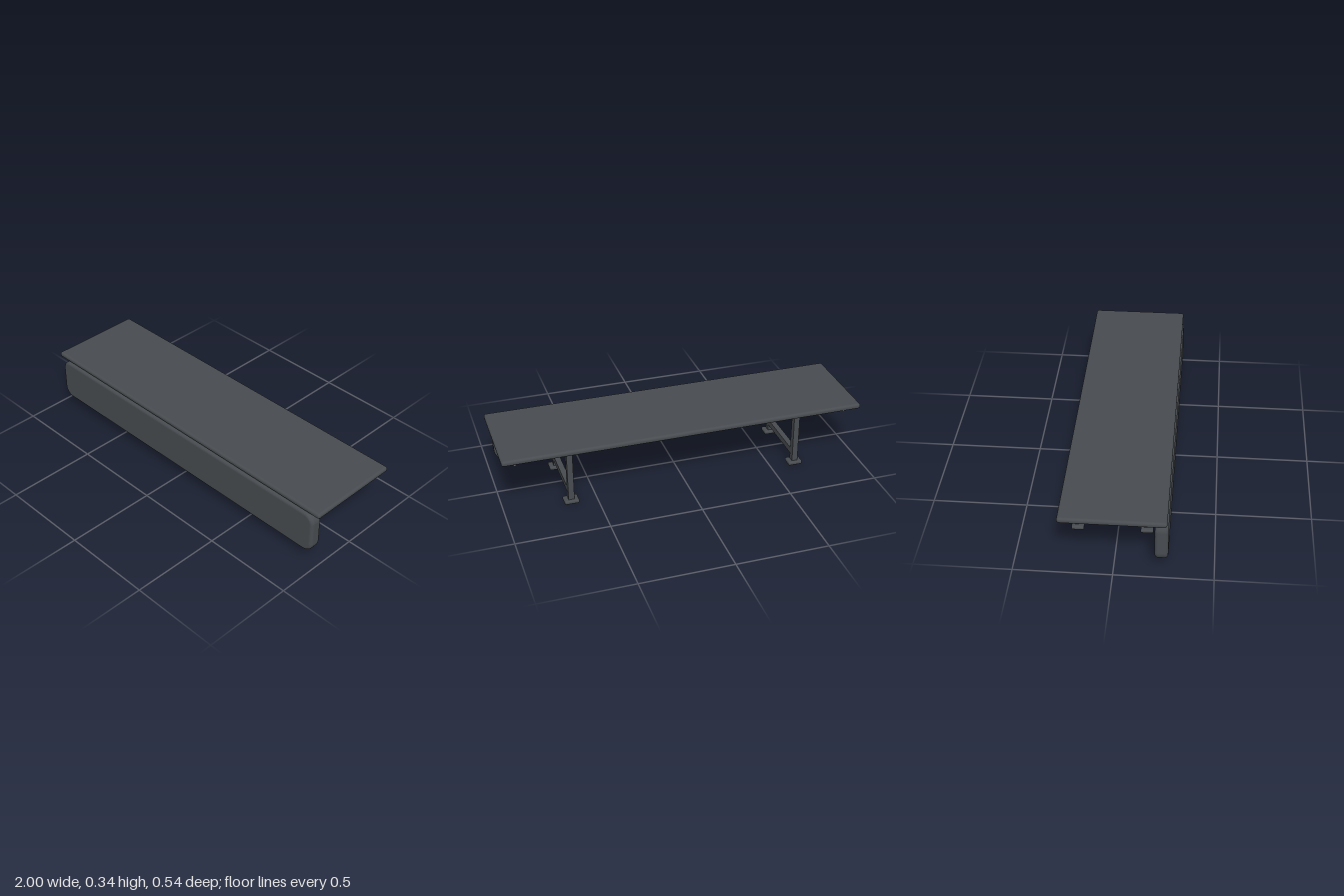
import * as THREE from 'three';
import { RoundedBoxGeometry } from 'three/addons/geometries/RoundedBoxGeometry.js';

const slate = new THREE.MeshStandardMaterial({ color: 0x484c50 });
slate.name = 'slate grey';
const steel = new THREE.MeshStandardMaterial({ color: 0x8c92a4 });
steel.name = 'steel';

function add(parent, name, geometry, material, x, y, z) {
  const mesh = new THREE.Mesh(geometry, material);
  mesh.name = name;
  mesh.position.set(x, y, z);
  parent.add(mesh);
  return mesh;
}

// Rounded rectangle centred on the origin
function roundedRect(w, h, r) {
  const s = new THREE.Shape();
  s.absarc(w / 2 - r, h / 2 - r, r, 0, Math.PI / 2);
  s.absarc(-w / 2 + r, h / 2 - r, r, Math.PI / 2, Math.PI);
  s.absarc(-w / 2 + r, -h / 2 + r, r, Math.PI, Math.PI * 1.5);
  s.absarc(w / 2 - r, -h / 2 + r, r, Math.PI * 1.5, Math.PI * 2);
  s.closePath();
  return s;
}

export function createModel() {
  const group = new THREE.Group();
  group.name = 'bench';

  // Flat top with softened edges
  add(group, 'benchTop', new RoundedBoxGeometry(2, 0.03, 0.533, 4, 0.013), slate, 0, 0.328, -0.003);

  // Hanging front cushion with round corners and a soft rim
  const bevel = 0.018, depth = 0.068;
  const cushion = new THREE.ExtrudeGeometry(roundedRect(1.934 - 2 * bevel, 0.242 - 2 * bevel, 0.04), {
    depth: depth - 2 * bevel, bevelEnabled: true, bevelSize: bevel,
    bevelThickness: bevel, bevelSegments: 5, curveSegments: 8,
  });
  cushion.translate(0, 0, -(depth - 2 * bevel) / 2);
  add(group, 'frontCushion', cushion, slate, 0, 0.189, 0.236);

  for (const side of [-1, 1]) {
    const x = side * 0.64;
    const frame = new THREE.Group();
    frame.name = side > 0 ? 'leftFrame' : 'rightFrame';
    group.add(frame);

    // Two posts on rounded feet
    for (const z of [0.15, -0.209]) {
      add(frame, 'leg', new THREE.BoxGeometry(0.032, 0.305, 0.034), slate, x, 0.165, z);
      add(frame, 'foot', new RoundedBoxGeometry(0.08, 0.021, 0.066, 4, 0.008), slate, x, 0.0105, z - 0.001);
    }
    add(frame, 'crossbar', new THREE.BoxGeometry(0.032, 0.034, 0.33), slate, x, 0.072, -0.03);

    // Small hinge holding the cushion under the top
    add(frame, 'hinge', new THREE.BoxGeometry(0.03, 0.02, 0.01), slate, x, 0.31, 0.234);

    // Steel rod beneath each end of the top
    const rod = add(group, 'endRod', new THREE.CylinderGeometry(0.0065, 0.0065, 0.357, 16), steel,
      side * 0.925, 0.285, -0.037);
    rod.rotation.x = Math.PI / 2;
  }
  return group;
}
